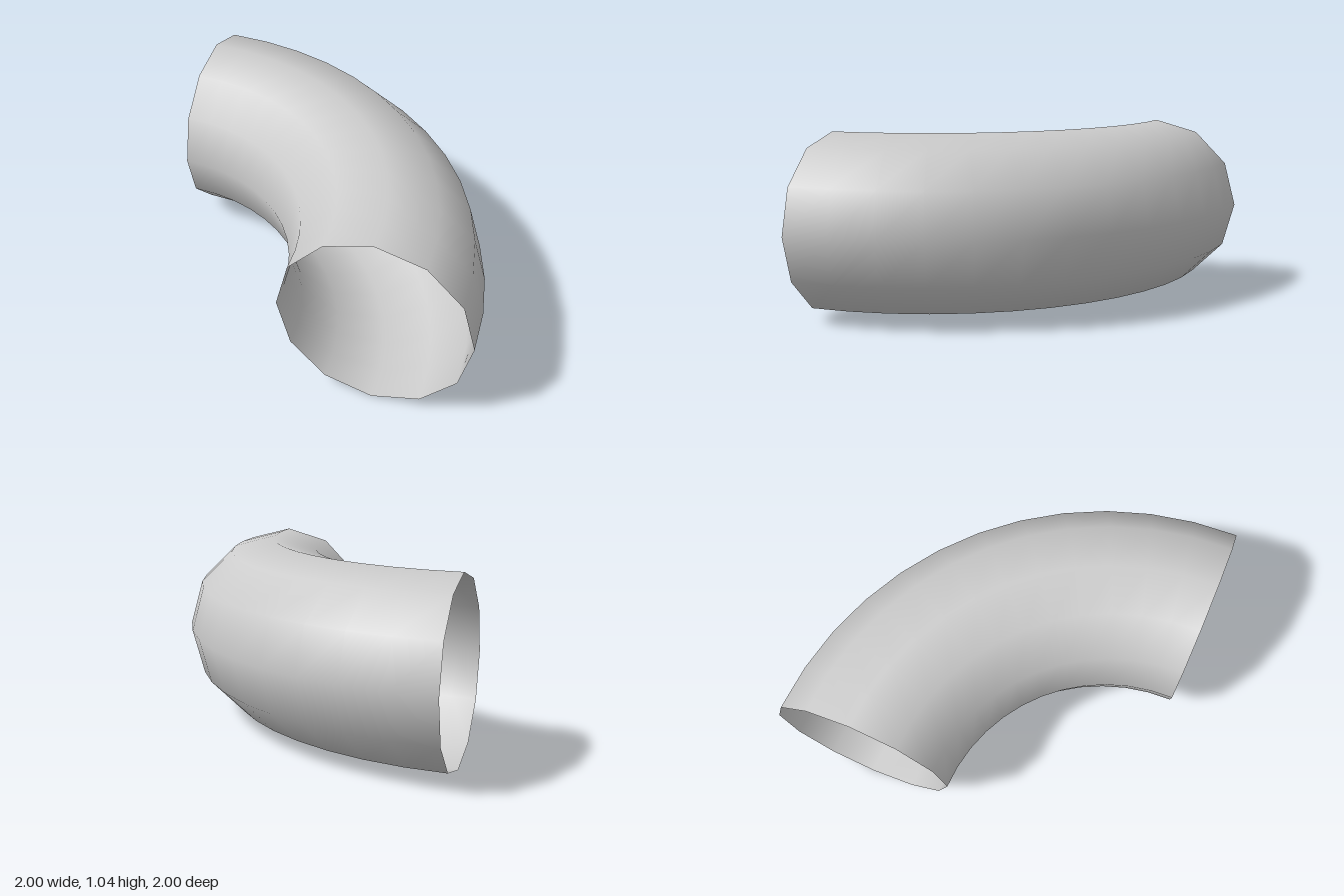
import * as THREE from 'three';

export function createModel() {
  const group = new THREE.Group();
  group.name = 'pipeElbow';

  const outerRadius = 2;
  const innerRadius = 0.963;
  const tubeRadius = (outerRadius - innerRadius) / 2;
  const bendRadius = (outerRadius + innerRadius) / 2;

  // Open quarter bend with a twelve-sided section, laid flat
  const geometry = new THREE.TorusGeometry(bendRadius, tubeRadius, 12, 12, Math.PI / 2);
  geometry.rotateX(-Math.PI / 2);
  geometry.translate(-1, tubeRadius, 1);

  const material = new THREE.MeshStandardMaterial({ color: 0xcccccc, side: THREE.DoubleSide });
  const bend = new THREE.Mesh(geometry, material);
  bend.name = 'bend';
  group.add(bend);

  return group;
}
